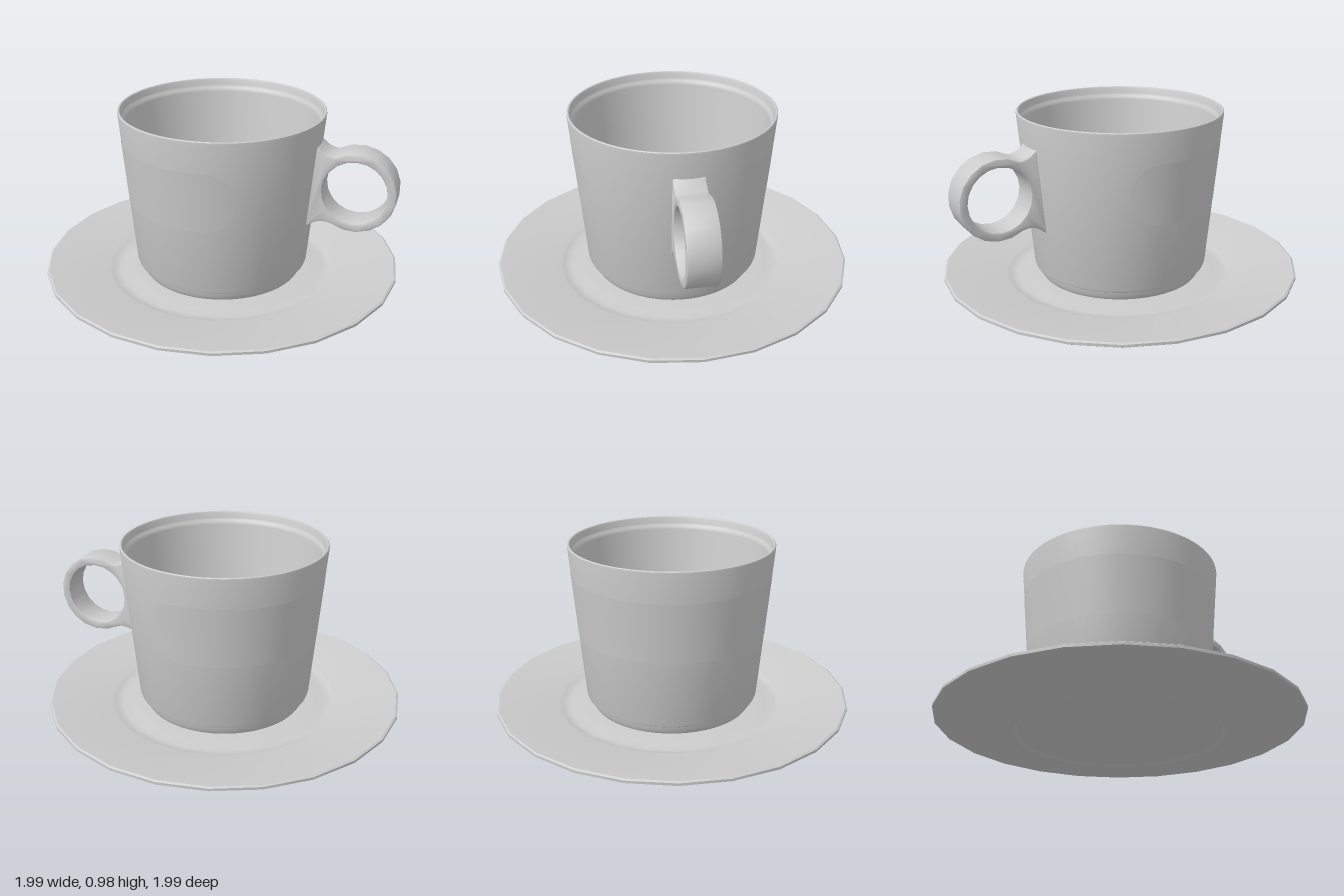
import * as THREE from 'three';
import { toCreasedNormals } from 'three/addons/utils/BufferGeometryUtils.js';

const HANDLE_ANGLE = THREE.MathUtils.degToRad(20.8); // swung from +x towards the back
const wallRadius = (y) => 0.486 + (y - 0.11) * 0.0908; // tapered outside of the cup

const material = new THREE.MeshStandardMaterial({ color: 0xcccccc, side: THREE.DoubleSide });

// Enlarged while creasing so that close vertices stay distinct
function crease(geometry, degrees) {
  const big = geometry.clone().scale(100, 100, 100);
  return toCreasedNormals(big, THREE.MathUtils.degToRad(degrees)).scale(0.01, 0.01, 0.01);
}

function part(name, geometry) {
  const mesh = new THREE.Mesh(geometry, material);
  mesh.name = name;
  return mesh;
}

function lathe(name, profile, segments, start, creaseAngle) {
  const points = profile.map(([r, y]) => new THREE.Vector2(r, y));
  return part(name, crease(new THREE.LatheGeometry(points, segments, start), creaseAngle));
}

function makeSaucer() {
  return lathe('saucer', [
    [0, 0.014], [0.55, 0.014], [0.565, 0.004], [0.58, 0], [0.61, 0.001], [0.64, 0.017],
    [0.99, 0.064], [1, 0.07], [1, 0.084], [0.99, 0.09],
    [0.655, 0.043], [0.636, 0.038], [0.62, 0.031], [0.59, 0.03], [0.54, 0.038], [0.5, 0.042], [0, 0.042],
  ], 24, 0.1, 30);
}

function makeCup() {
  return lathe('cup', [
    // foot and outside wall
    [0, 0.05], [0.41, 0.05], [0.425, 0.042], [0.445, 0.045], [0.455, 0.06], [0.46, 0.092],
    [0.472, 0.096], [0.482, 0.102], [wallRadius(0.115), 0.115], [wallRadius(0.97), 0.97],
    // rim with a small step inside
    [0.563, 0.979], [0.558, 0.983], [0.552, 0.981], [0.548, 0.974], [0.545, 0.945],
    [0.54, 0.934], [0.53, 0.925], [0.526, 0.91],
    // inside wall and floor
    [0.458, 0.17], [0.452, 0.145], [0.44, 0.128], [0.42, 0.12], [0, 0.12],
  ], 80, 0, 35);
}

// Thin band with rounded ends, wrapped round the wall opposite the handle
function makeBand() {
  const rows = 24, columns = 72;
  const midY = 0.645, halfHeight = 0.165;
  const straight = THREE.MathUtils.degToRad(97.6), cap = halfHeight / 0.535;
  const middle = 1.5 * Math.PI + HANDLE_ANGLE;
  const geometry = new THREE.PlaneGeometry(2, 2, columns, rows);
  const pos = geometry.attributes.position;
  for (let i = 0; i < pos.count; i++) {
    const v = Math.sin(pos.getY(i) * Math.PI / 2);
    const reach = straight + cap * Math.sqrt(Math.max(0, 1 - v * v));
    const angle = middle + pos.getX(i) * reach;
    const y = midY + halfHeight * v;
    const r = wallRadius(y) + 0.001;
    pos.setXYZ(i, r * Math.sin(angle), y, r * Math.cos(angle));
  }
  geometry.computeVertexNormals();
  return part('wallBand', geometry);
}

// Ring handle whose roots flare into the wall
function makeHandle() {
  const cx = 0.752, cy = 0.602, outer = 0.212, hole = 0.184, bevel = 0.01, width = 0.168;
  const shape = new THREE.Shape();
  const from = THREE.MathUtils.degToRad(-122), sweep = THREE.MathUtils.degToRad(244);
  const at = (a) => [cx + outer * Math.cos(a), cy + outer * Math.sin(a)];
  shape.moveTo(0.497, 0.38);
  shape.quadraticCurveTo(0.56, 0.45, ...at(from));
  for (let i = 1; i <= 13; i++) shape.lineTo(...at(from + sweep * i / 13));
  shape.quadraticCurveTo(0.575, 0.785, 0.54, 0.835);
  shape.closePath();

  const ring = [];
  for (let i = 0; i < 20; i++) {
    const a = -2 * Math.PI * i / 20;
    ring.push(new THREE.Vector2(cx + hole * Math.cos(a), cy + hole * Math.sin(a)));
  }
  shape.holes.push(new THREE.Path(ring));

  const geometry = new THREE.ExtrudeGeometry(shape, {
    depth: width - 2 * bevel, curveSegments: 6,
    bevelEnabled: true, bevelThickness: bevel, bevelSize: bevel, bevelSegments: 2,
  });
  geometry.translate(0, 0, bevel - width / 2);
  const handle = part('handle', crease(geometry, 40));
  handle.rotation.y = HANDLE_ANGLE;
  return handle;
}

export function createModel() {
  const model = new THREE.Group();
  model.name = 'cupAndSaucer';
  model.add(makeSaucer(), makeCup(), makeBand(), makeHandle());
  return model;
}
